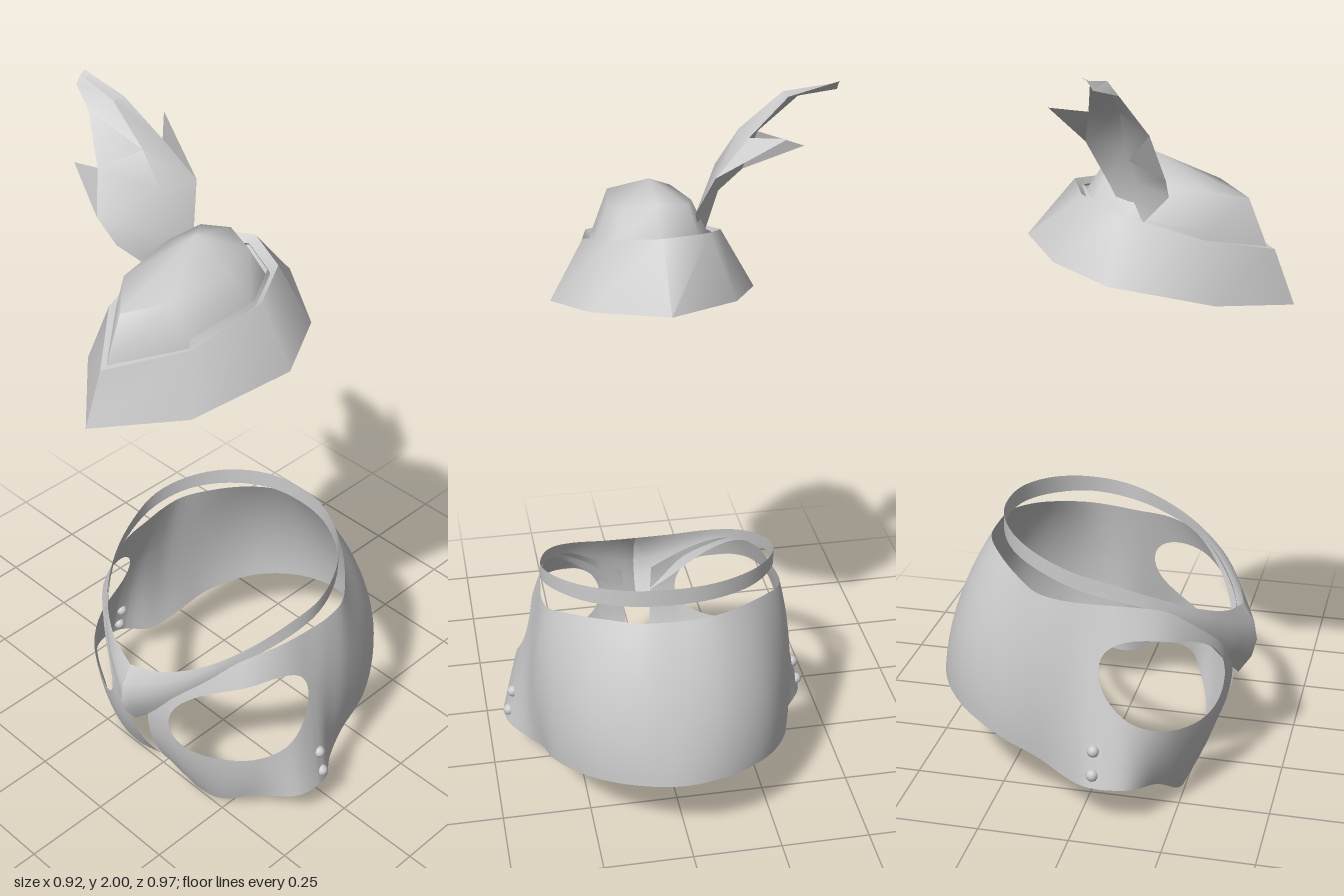
import * as THREE from 'three';
import { mergeGeometries, mergeVertices, toCreasedNormals } from 'three/addons/utils/BufferGeometryUtils.js';

const CX = 0.015; // symmetry plane
const material = new THREE.MeshStandardMaterial({ color: 0xcccccc, side: THREE.DoubleSide });
const vec = ([x, y, z]) => new THREE.Vector3(x, y, z);

// Surface from rows of points, each row the same length
function skin(rows) {
  const n = rows[0].length, pos = [], idx = [];
  rows.forEach(r => r.forEach(p => pos.push(p.x, p.y, p.z)));
  for (let i = 0; i < rows.length - 1; i++)
    for (let j = 0; j < n - 1; j++) {
      const a = i * n + j, b = a + 1, c = a + n, d = c + 1;
      idx.push(a, b, d, a, d, c);
    }
  const g = new THREE.BufferGeometry();
  g.setAttribute('position', new THREE.Float32BufferAttribute(pos, 3));
  g.setIndex(idx);
  return g;
}

// Half a loop of points, front to back on +x, continued by its mirror image
function mirrored(half) {
  const other = half.slice(0, -1).reverse().map(([x, y, z]) => [-x, y, z]);
  return [...half, ...other].map(vec);
}
const rail = half => new THREE.CatmullRomCurve3(mirrored(half));

// Quadratic through three points at v = 0, 0.5, 1
function across(a, m, b, v) {
  return new THREE.Vector3()
    .addScaledVector(a, (1 - v) * (1 - 2 * v))
    .addScaledVector(m, 4 * v * (1 - v))
    .addScaledVector(b, v * (2 * v - 1));
}

function add(group, name, geometry) {
  const mesh = new THREE.Mesh(geometry, material);
  mesh.name = name;
  group.add(mesh);
  return mesh;
}

// Wrap-around body: lower rim, waist and upper rim, with two rounded openings
function bodyGeometry() {
  const low = [[.03, .02, .24], [.13, 0, .245], [.22, .02, .24], [.33, .09, .2], [.43, .12, .14], [.44, .12, .04],
    [.385, .11, -.04], [.355, .14, -.12], [.33, .18, -.24], [.25, .215, -.37], [.13, .235, -.455], [0, .24, -.485]];
  const top = [[.045, .4, .35], [.13, .46, .33], [.21, .53, .27], [.275, .58, .19], [.315, .6, .1], [.33, .605, 0],
    [.335, .61, -.06], [.325, .62, -.13], [.27, .64, -.2], [.19, .66, -.27], [.1, .67, -.32], [0, .67, -.33]];
  const waist = [[.038, .338], [.145, .328], [.25, .285], [.335, .225], [.38, .13], [.385, .03],
    [.375, -.04], [.365, -.12], [.325, -.23], [.245, -.345], [.13, -.415], [0, -.435]];
  const mid = waist.map(([x, z], i) => [x, (low[i][1] + top[i][1]) / 2, z]);
  const rails = [low, mid, top].map(rail);

  // Columns, packed towards both ends of each opening
  const h0 = 0.75, h1 = 4.75, half = [];
  for (let i = 0; i < 4; i++) half.push(h0 * i / 4);
  for (let i = 0; i <= 28; i++) half.push((h0 + h1) / 2 - Math.cos(Math.PI * i / 28) * (h1 - h0) / 2);
  for (let i = 1; i <= 25; i++) half.push(h1 + (11 - h1) * i / 25);
  const columns = [...half, ...half.slice(0, -1).reverse().map(u => 22 - u)];

  const upper = [], lower = [];
  for (const u of columns) {
    const [a, m, b] = rails.map(r => r.getPoint(u / 22));
    const s = THREE.MathUtils.clamp((2 * Math.min(u, 22 - u) - h0 - h1) / (h1 - h0), -1, 1);
    const centre = 0.375 + 0.05 * s;
    const open = 0.122 * Math.sqrt(Math.max(0, 1 - Math.abs(s) ** 2.6));
    const toV = y => (y - a.y) / (b.y - a.y);
    const v0 = toV(centre - open), v1 = toV(centre + open), up = [], down = [];
    for (let k = 0; k <= 8; k++) {
      down.push(across(a, m, b, v0 * k / 8));
      up.push(across(a, m, b, v1 + (1 - v1) * k / 8));
    }
    upper.push(up);
    lower.push(down);
  }
  const g = mergeVertices(mergeGeometries([skin(lower), skin(upper)]), 1e-4);
  g.computeVertexNormals();
  return g;
}

// Collar: thin band behind, broad point in front
function collarGeometry() {
  const top = [[0, .495, .375], [.1, .515, .345], [.2, .56, .28], [.275, .615, .18], [.315, .66, .07],
    [.328, .69, -.03], [.295, .715, -.13], [.22, .735, -.22], [.11, .747, -.28], [0, .75, -.295]];
  const low = [[0, .28, .365], [.1, .37, .335], [.2, .485, .28], [.275, .573, .19], [.32, .618, .07],
    [.328, .645, -.03], [.295, .67, -.13], [.22, .685, -.22], [.11, .697, -.28], [0, .7, -.295]];
  const bulge = [.045, .022, .008];
  const mid = top.map((t, i) => t.map((c, k) => (c + low[i][k]) / 2 + (k === 2 ? bulge[i] || 0 : 0)));
  const rails = [low, mid, top].map(rail);
  const rows = [];
  for (let i = 0; i <= 72; i++) {
    const [a, m, b] = rails.map(r => r.getPoint(i / 72));
    rows.push([0, .25, .5, .75, 1].map(v => across(a, m, b, v)));
  }
  const g = skin(rows);
  g.computeVertexNormals();
  return g;
}

// Hat rings: eight corners each, front, diagonal, side, diagonal, back
const hatRings = {
  lining: [[0, 1.54, .39], [.125, 1.57, .25], [.155, 1.61, .06], [.11, 1.64, -.03], [0, 1.65, -.075]],
  inset: [[0, 1.367, .455], [.178, 1.402, .297], [.253, 1.454, .05], [.178, 1.487, -.1], [0, 1.508, -.21]],
  hem: [[0, 1.36, .485], [.19, 1.396, .31], [.27, 1.452, .05], [.19, 1.486, -.11], [0, 1.51, -.23]],
  fold: [[0, 1.505, .43], [.145, 1.553, .27], [.18, 1.615, .06], [.128, 1.652, -.05], [0, 1.665, -.1]],
  crownBase: [[0, 1.51, .41], [.13, 1.55, .26], [.155, 1.59, .07], [.11, 1.62, -.03], [0, 1.635, -.07]],
  crownEdge: [[0, 1.635, .36], [.085, 1.665, .27], [.11, 1.685, .1], [.085, 1.705, .01], [0, 1.722, -.012]],
  crownTop: Array(5).fill([0, 1.747, .11]),
};
function hatGeometry(names, crease) {
  return toCreasedNormals(skin(names.map(n => mirrored(hatRings[n]))), crease);
}

// Feather: curved strip of three points per row, with a barb on each edge
function featherGeometry() {
  const rows = [
    [[-.1, 1.445, .055], [-.102, 1.445, .062], [-.105, 1.445, .07]],
    [[-.11, 1.6, .065], [-.117, 1.6, .09], [-.135, 1.59, .115]],
    [[-.09, 1.68, .015], [-.12, 1.69, .09], [-.185, 1.67, .19]],
    [[-.13, 1.79, -.035], [-.15, 1.79, .07], [-.25, 1.725, .195]],
    [[-.22, 1.88, -.005], [-.21, 1.88, .07], [-.28, 1.838, .16]],
    [[-.325, 1.97, .025], [-.32, 1.972, .065], [-.37, 1.945, .105]],
    [[-.46, 2, .035], [-.46, 1.992, .05], [-.46, 1.97, .065]],
  ];
  const barbs = [[rows[3][0], [-.3, 1.9, -.085], rows[4][0]], [rows[3][2], [-.4, 1.8, .135], rows[4][2]]];
  const parts = [skin(rows.map(r => r.map(vec)))];
  for (const [a, tip, b] of barbs) parts.push(skin([[a, tip].map(vec), [b, tip].map(vec)]));
  return toCreasedNormals(mergeGeometries(parts), 0.8);
}

export function createModel() {
  const model = new THREE.Group();
  model.name = 'hatAndCollaredWrap';

  // Wrap and collar
  const wrap = new THREE.Group();
  wrap.name = 'wrap';
  wrap.position.x = CX;
  add(wrap, 'body', bodyGeometry());
  add(wrap, 'collar', collarGeometry());

  // Two studs on each side
  const stud = new THREE.SphereGeometry(0.017, 12, 8);
  for (const side of [-1, 1])
    for (const [x, y] of [[.418, .22], [.432, .155]])
      add(wrap, side > 0 ? 'leftStud' : 'rightStud', stud).position.set(side * x, y, .045);

  // Hat with turned-up brim
  const hat = new THREE.Group();
  hat.name = 'hat';
  hat.position.x = CX;
  add(hat, 'brim', hatGeometry(['lining', 'inset', 'hem', 'fold', 'crownBase'], 0.9));
  add(hat, 'crown', hatGeometry(['crownBase', 'crownEdge', 'crownTop'], 1.2));

  model.add(wrap, hat);
  add(model, 'feather', featherGeometry());
  return model;
}
